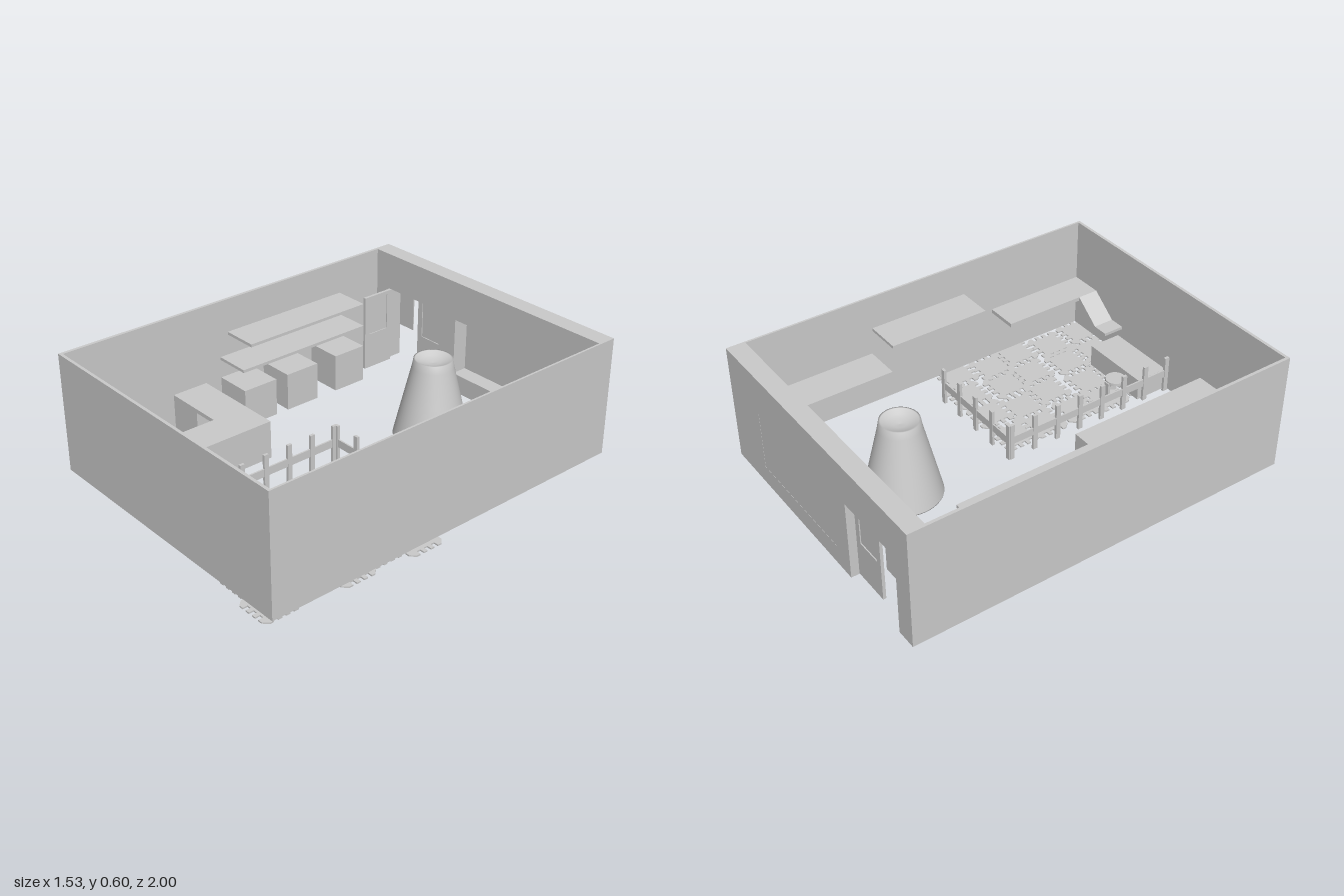
import * as THREE from 'three';

const mat = new THREE.MeshStandardMaterial({ color: 0xcccccc, side: THREE.DoubleSide });

export function createModel() {
  const root = new THREE.Group();

  const add = (name, geo, parent = root) => {
    const m = new THREE.Mesh(geo, mat);
    m.name = name;
    parent.add(m);
    return m;
  };
  // Box given by its limits on each axis
  const box = (name, x0, x1, y0, y1, z0, z1, parent = root) => {
    const m = add(name, new THREE.BoxGeometry(x1 - x0, y1 - y0, z1 - z0), parent);
    m.position.set((x0 + x1) / 2, (y0 + y1) / 2, (z0 + z1) / 2);
    return m;
  };
  const group = (name) => {
    const g = new THREE.Group();
    g.name = name;
    root.add(g);
    return g;
  };
  const poly = (pts) => new THREE.Shape(pts.map(([x, y]) => new THREE.Vector2(x, y)));
  const rect = (x0, x1, y0, y1) => poly([[x0, y0], [x1, y0], [x1, y1], [x0, y1]]);
  const extrude = (shape, depth) => new THREE.ExtrudeGeometry(shape, { depth, bevelEnabled: false });

  // Room walls, open above and below
  const floorY = 0.007, top = 0.6;
  box('leftWall', 0.71, 0.72, floorY, top, -0.91, 0.965);
  box('rightWall', -0.77, -0.755, floorY, top, -0.91, 0.965);
  box('frontWall', -0.755, 0.71, floorY, top, 0.95, 0.965);

  // Thick back wall with a doorway and a window opening
  const back = poly([[-0.77, floorY], [-0.67, floorY], [-0.67, 0.41], [-0.29, 0.41],
    [-0.29, floorY], [0.72, floorY], [0.72, top], [-0.77, top]]);
  back.holes.push(rect(-0.18, 0.455, 0.105, 0.4));
  add('backWall', extrude(back, 0.09)).position.z = -1;
  box('windowPane', -0.18, 0.455, 0.105, 0.4, -0.999, -0.994);

  // Door leaves with glazed upper halves
  const leaf = (name, w) => {
    const g = group(name);
    const s = rect(0, w, 0.01, 0.41);
    s.holes.push(rect(0.03, w - 0.03, 0.2, 0.39));
    add('doorFrame', extrude(s, 0.015), g);
    box('doorPane', 0.03, w - 0.03, 0.2, 0.39, 0.005, 0.01, g);
    return g;
  };
  leaf('fixedDoor', 0.19).position.set(-0.48, 0, -0.96);
  const open = leaf('openDoor', 0.18);
  open.rotation.y = -Math.PI / 2;
  open.position.set(-0.645, 0, -0.91);
  box('loosePane', -0.62, -0.52, 0.21, 0.395, -0.955, -0.95);

  // Right side: two shelves above three floor cabinets
  box('upperShelf', -0.755, -0.57, 0.415, 0.43, -0.65, 0.06);
  box('lowerShelf', -0.755, -0.57, 0.295, 0.31, -0.65, 0.11);
  for (const [z0, z1] of [[-0.645, -0.46], [-0.34, -0.15], [-0.08, 0.11]]) {
    box('cabinet', -0.755, -0.565, floorY, 0.2, z0, z1);
  }

  // L-shaped counter, open underneath beside the wall
  const counter = group('counter');
  box('counterLong', -0.435, -0.255, floorY, 0.2, 0.2, 0.95, counter);
  box('counterTop', -0.755, -0.435, 0.18, 0.2, 0.2, 0.39, counter);
  box('counterSupport', -0.755, -0.57, floorY, 0.18, 0.2, 0.39, counter);

  // Left side shelves
  box('highShelf', 0.525, 0.71, 0.415, 0.43, -0.27, 0.25);
  box('lowShelf', 0.525, 0.71, 0.275, 0.29, -0.82, -0.28);

  // Raised platform with a chute bending down from its end
  box('platform', 0.545, 0.71, 0.26, 0.28, 0.415, 0.95);
  const chute = poly([[0.545, 0.28], [0.41, 0.175], [0.33, 0.175],
    [0.33, 0.16], [0.415, 0.16], [0.545, 0.26]]);
  add('chute', extrude(chute, 0.11)).position.z = 0.84;

  // Low bench
  box('bench', -0.02, 0.345, floorY, 0.12, 0.77, 0.94);

  // Tapered pedestal with a dished top
  const pedestal = [[0, 0], [0.183, 0], [0.183, 0.005], [0.14, 0.19], [0.1, 0.36], [0.093, 0.4],
    [0.085, 0.4], [0.06, 0.385], [0.03, 0.378], [0, 0.375]].map(([x, y]) => new THREE.Vector2(x, y));
  add('pedestal', new THREE.LatheGeometry(pedestal, 48)).position.set(0.06, 0.007, -0.525);

  // Three-legged stool
  const stool = group('stool');
  stool.position.set(0.075, 0, 0.705);
  add('seat', new THREE.CylinderGeometry(0.05, 0.05, 0.015, 24), stool).position.y = 0.1;
  for (let i = 0; i < 3; i++) {
    const a = Math.PI + (i * Math.PI * 2) / 3;
    const leg = add('stoolLeg', new THREE.BoxGeometry(0.03, 0.095, 0.012), stool);
    leg.position.set(Math.sin(a) * 0.05, 0.053, Math.cos(a) * 0.05);
    leg.rotation.y = a;
  }

  // Picket fence on two sides of the play area
  const fence = (name, length, count) => {
    const g = group(name);
    box('rail', 0, length, 0.09, 0.13, -0.004, 0.004, g);
    for (let i = 0; i < count; i++) {
      const x = 0.012 + ((length - 0.024) * i) / (count - 1);
      box('picket', x - 0.012, x + 0.012, floorY, 0.2, -0.007, 0.007, g);
    }
    return g;
  };
  fence('backFence', 0.56, 5).position.set(-0.04, 0, 0.012 - 0.02);
  const side = fence('sideFence', 0.95, 8);
  side.rotation.y = -Math.PI / 2;
  side.position.set(-0.035, 0, -0.008);

  // Toothed floor mats: a square outline with four teeth on each side
  const h = 0.07, tooth = 0.024, step = (2 * h) / 7;
  const pts = [];
  for (let s = 0; s < 4; s++) {
    const c = Math.round(Math.cos((s * Math.PI) / 2)), n = Math.round(Math.sin((s * Math.PI) / 2));
    for (let i = 0; i < 7; i++) {
      const d = i % 2 ? -h : -h - tooth;
      for (const u of [-h + i * step, -h + (i + 1) * step]) pts.push([u * c - d * n, u * n + d * c]);
    }
  }
  const matGeo = extrude(poly(pts), 0.007).rotateX(-Math.PI / 2);
  const mats = group('floorMats');
  const centres = [
    [0.105, 0.12], [0.305, 0.12], [0.49, 0.12], [0.67, 0.165],
    [0.1, 0.285], [0.265, 0.285], [0.455, 0.32], [0.625, 0.35],
    [0.105, 0.485], [0.295, 0.46], [0.47, 0.49], [0.65, 0.52],
    [0.09, 0.66], [0.25, 0.67], [0.44, 0.69], [0.61, 0.71],
    [0.1, 0.86], [0.27, 0.85], [0.45, 0.87], [0.626, 0.906],
  ];
  for (const [x, z] of centres) add('floorMat', matGeo, mats).position.set(x, 0, z);

  return root;
}
